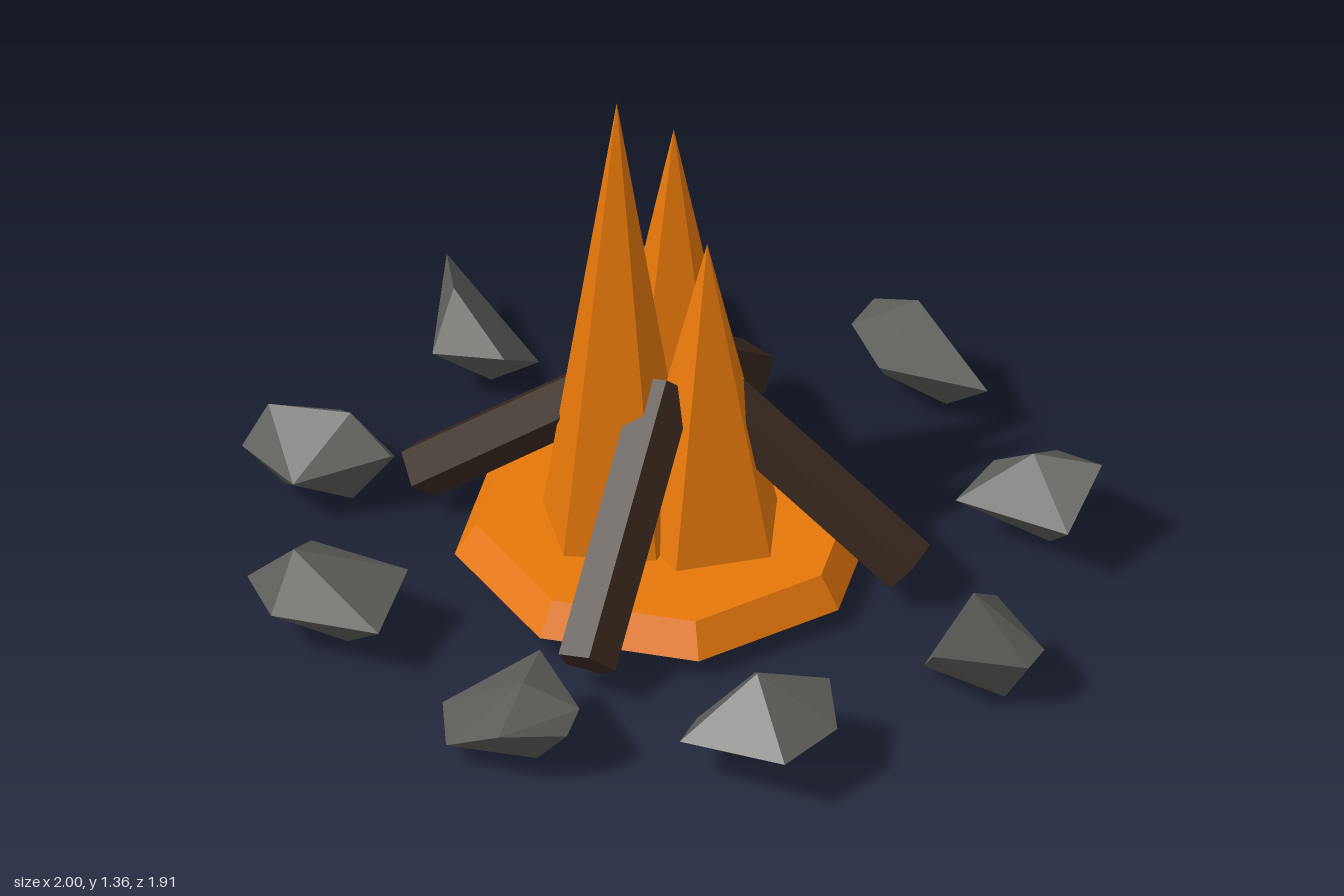
import * as THREE from 'three';
import { ConvexGeometry } from 'three/addons/geometries/ConvexGeometry.js';

const material = (name, color) => {
  const m = new THREE.MeshStandardMaterial({ color, flatShading: true });
  m.name = name;
  return m;
};

function add(parent, name, geometry, mat) {
  const mesh = new THREE.Mesh(geometry, mat);
  mesh.name = name;
  parent.add(mesh);
  return mesh;
}

function addGroup(parent, name) {
  const group = new THREE.Group();
  group.name = name;
  parent.add(group);
  return group;
}

// Pointed flame: convex hull of a five-sided foot and a tip
function flameGeometry(tip, foot) {
  const points = foot.map(([x, z]) => new THREE.Vector3(x, 0.1, z));
  return new ConvexGeometry([...points, new THREE.Vector3(...tip)]);
}

// Five-sided foot around (x, z), starting at an angle in degrees
function ring(x, z, radius, start) {
  return Array.from({ length: 5 }, (_, i) => {
    const a = THREE.MathUtils.degToRad(start + i * 72);
    return [x + radius * Math.cos(a), z + radius * Math.sin(a)];
  });
}

// Faceted stone: uneven belt [x, y, z], a peak, and a smaller underside at height low
function rockGeometry(low, peak, belt) {
  const points = belt.map((p) => new THREE.Vector3(...p));
  const centre = points.reduce((s, p) => s.add(p), new THREE.Vector3()).divideScalar(belt.length);
  const under = points.filter((_, i) => i % 2 === 0).map((p, i) => {
    const q = centre.clone().lerp(p, 0.45);
    q.y = low + 0.015 * i;
    return q;
  });
  return new ConvexGeometry([...points, ...under, new THREE.Vector3(...peak)]);
}

export function createModel() {
  const model = new THREE.Group();
  model.name = 'campfire';
  const orange = material('flame orange', 0xe8790b);
  const brown = material('charred wood', 0x39291f);
  const grey = material('stone grey', 0x5b5c57);
  const centre = [-0.055, -0.035];

  // Ember bed: shallow octagonal frustum
  const bed = add(model, 'emberBed', new THREE.CylinderGeometry(0.45, 0.5, 0.08, 8), orange);
  bed.position.set(centre[0], 0.09, centre[1]);

  // Three flames
  const flames = addGroup(model, 'flames');
  add(flames, 'tallFlame', flameGeometry([-0.117, 1.355, 0.075], ring(-0.12, 0.075, 0.19, 23)), orange);
  add(flames, 'backFlame', flameGeometry([-0.105, 1.155, -0.135],
    [[-0.31, -0.085], [-0.235, -0.26], [0, -0.315], [0.08, -0.1], [-0.1, 0.06]]), orange);
  add(flames, 'shortFlame', flameGeometry([0.065, 0.955, -0.035], ring(0.065, -0.035, 0.2, 4)), orange);

  // Four leaning five-sided logs around the centre
  const logs = addGroup(model, 'logs');
  logs.position.set(centre[0], 0, centre[1]);
  const inner = new THREE.Vector3(0.06, 0.53, -0.016);
  const outer = new THREE.Vector3(0.6, 0.1, -0.016);
  const axis = inner.clone().sub(outer);
  const logGeometry = new THREE.CylinderGeometry(0.073, 0.073, axis.length(), 5, 1, false, Math.PI);
  for (let i = 0; i < 4; i++) {
    const arm = addGroup(logs, 'logArm');
    arm.rotation.y = THREE.MathUtils.degToRad(16.5 + i * 90);
    const log = add(arm, 'log', logGeometry, brown);
    log.position.copy(inner).add(outer).multiplyScalar(0.5);
    log.quaternion.setFromUnitVectors(new THREE.Vector3(0, 1, 0), axis.clone().normalize());
  }

  // Ring of stones
  const stones = addGroup(model, 'stoneRing');
  const stone = (name, low, peak, belt) => add(stones, name, rockGeometry(low, peak, belt), grey);
  stone('backStone', 0.02, [0.06, 0.27, -0.88],
    [[-0.09, 0.19, -0.91], [0.145, 0.01, -0.96], [0.29, 0.13, -0.84], [0.07, 0.18, -0.71], [-0.09, 0.17, -0.82]]);
  stone('backLeftStone', 0.04, [0.62, 0.26, -0.57],
    [[0.57, 0.15, -0.73], [0.76, 0.24, -0.65], [0.785, 0.15, -0.48], [0.47, 0.12, -0.465], [0.49, 0.17, -0.59]]);
  stone('leftStone', 0, [0.84, 0.28, -0.03],
    [[0.82, 0.19, -0.15], [0.995, 0.14, -0.1], [1, 0.13, -0.03], [0.84, 0.19, 0.13], [0.71, 0.02, -0.01]]);
  stone('frontLeftStone', 0.05, [0.6, 0.26, 0.5],
    [[0.5, 0.14, 0.37], [0.7, 0.2, 0.35], [0.8, 0.16, 0.455], [0.775, 0.15, 0.63], [0.5, 0.12, 0.67], [0.44, 0.07, 0.52]]);
  stone('frontStone', 0.02, [0.17, 0.25, 0.84],
    [[0.08, 0.19, 0.65], [0.29, 0.19, 0.78], [0.29, 0.14, 0.83], [0.18, 0.16, 0.95], [0.02, 0.06, 0.94], [-0.085, 0.06, 0.81]]);
  stone('frontRightStone', 0.03, [-0.56, 0.26, 0.75],
    [[-0.64, 0.14, 0.57], [-0.36, 0.18, 0.57], [-0.3, 0.14, 0.77], [-0.56, 0.12, 0.84], [-0.68, 0.14, 0.77]]);
  stone('rightStone', 0.01, [-0.76, 0.265, 0.25],
    [[-0.89, 0.13, 0.11], [-0.69, 0.12, 0.17], [-0.65, 0.18, 0.24], [-0.81, 0.13, 0.41], [-0.98, 0.15, 0.38], [-0.94, 0.26, 0.33]]);
  stone('outerStone', 0.02, [-0.87, 0.24, -0.31],
    [[-1, 0.19, -0.46], [-0.71, 0.02, -0.43], [-0.68, 0.15, -0.25], [-0.83, 0.15, -0.17]]);
  stone('backRightStone', 0.06, [-0.6, 0.24, -0.74],
    [[-0.62, 0.04, -0.84], [-0.37, 0.19, -0.63], [-0.4, 0.15, -0.61], [-0.67, 0.17, -0.71]]);

  return model;
}
